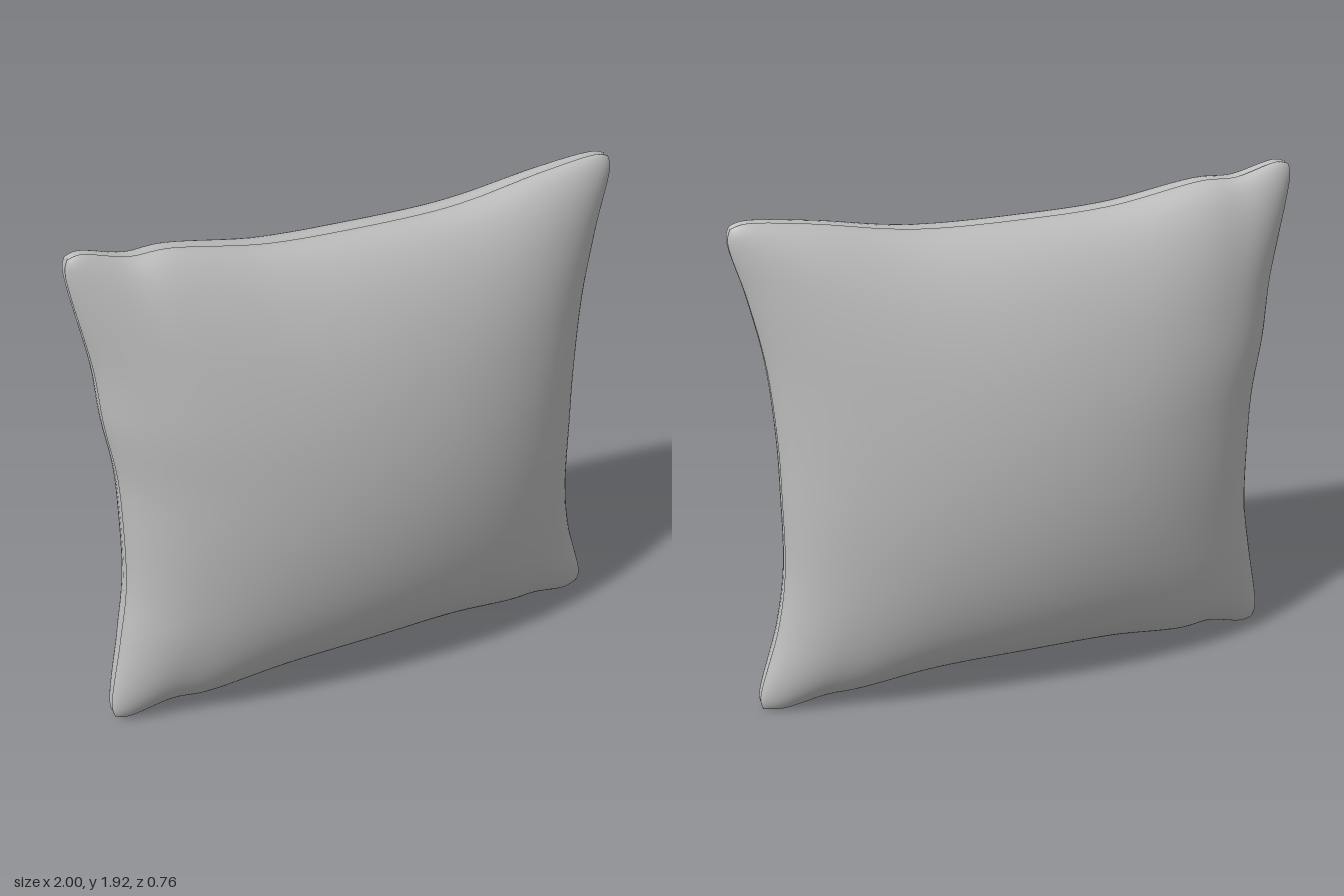
import * as THREE from 'three';

// Outline edges in the seam plane; neighbouring edges share their corner points
const edge = (pts) => {
  const c = new THREE.CatmullRomCurve3(pts.map(([x, y]) => new THREE.Vector3(x, y, 0)), false, 'centripetal');
  c.arcLengthDivisions = 400;
  return c;
};
const TL = [-0.99, 1.915], TR = [0.962, 1.9], BL = [-0.985, 0.022], BR = [0.988, 0.015];
const top = edge([TL, [-0.95, 1.925], [-0.79, 1.885], [-0.67, 1.887], [-0.33, 1.832], [0, 1.82],
  [0.3, 1.825], [0.45, 1.842], [0.7, 1.888], [0.92, 1.912], TR]);
const bottom = edge([BL, [-0.94, 0.014], [-0.77, 0.058], [-0.65, 0.052], [-0.35, 0.092], [0, 0.102],
  [0.35, 0.095], [0.64, 0.052], [0.75, 0.045], [0.92, 0.006], BR]);
const left = edge([BL, [-0.995, 0.07], [-0.94, 0.37], [-0.9, 0.6], [-0.89, 0.9], [-0.895, 1.08],
  [-0.925, 1.3], [-0.94, 1.5], [-1, 1.88], TL]);
const right = edge([BR, [0.995, 0.06], [0.91, 0.35], [0.87, 0.58], [0.86, 0.9], [0.86, 1.1],
  [0.88, 1.4], [0.925, 1.65], [0.973, 1.86], TR]);

const N = 64;
const LIP = 0.014;      // half thickness of the rounded lip beside the seam
const DEPTH = 0.366;    // bulge of each half beyond the lip

// Grid parameter -1..1, denser towards the seam; the outermost row repeats the edge
const spread = (i) => {
  const k = Math.min(Math.max((i - 1) / (N - 2), 0), 1);
  return Math.sin((k - 0.5) * Math.PI);
};

// One bulging half of the cushion, filling the outline; side is +1 front, -1 back
function halfGeometry(side) {
  const geo = new THREE.PlaneGeometry(2, 2, N, N);
  const pos = geo.attributes.position;
  const params = Array.from({ length: N + 1 }, (_, i) => spread(i));
  const sample = (curve) => params.map((p) => curve.getPointAt((p + 1) / 2));
  const [T, B, L, R] = [top, bottom, left, right].map(sample);
  for (let row = 0; row <= N; row++) {
    for (let col = 0; col <= N; col++) {
      const i = side > 0 ? col : N - col;
      const j = N - row;
      const u = params[i], v = params[j];
      const s = (u + 1) / 2, t = (v + 1) / 2;
      // Blend the four edges across the face
      const blend = (a) => (1 - t) * B[i][a] + t * T[i][a] + (1 - s) * L[j][a] + s * R[j][a]
        - ((1 - s) * (1 - t) * B[0][a] + s * (1 - t) * B[N][a] + (1 - s) * t * T[0][a] + s * t * T[N][a]);
      let x = blend('x'), y = blend('y');
      // Elliptical swelling, a little fuller below the middle
      let z = LIP + DEPTH * Math.sqrt(Math.max(0, (1 - u * u) * (1 - v * v))) * (1 - 0.07 * v - 0.05 * v * v);
      // The outermost row tucks in to form the seam groove
      if (i === 0 || j === 0 || i === N || j === N) {
        x *= 0.986;
        y = 0.96 + (y - 0.96) * 0.986;
        z = 0;
      }
      pos.setXYZ(row * (N + 1) + col, x, y, side * z);
    }
  }
  geo.computeVertexNormals();
  return geo;
}

export function createModel() {
  const fabric = new THREE.MeshStandardMaterial({ color: 0xbcbcbc });
  fabric.name = 'greyFabric';

  const cushion = new THREE.Group();
  cushion.name = 'cushion';
  for (const [name, side] of [['frontCover', 1], ['backCover', -1]]) {
    const mesh = new THREE.Mesh(halfGeometry(side), fabric);
    mesh.name = name;
    cushion.add(mesh);
  }
  return cushion;
}
